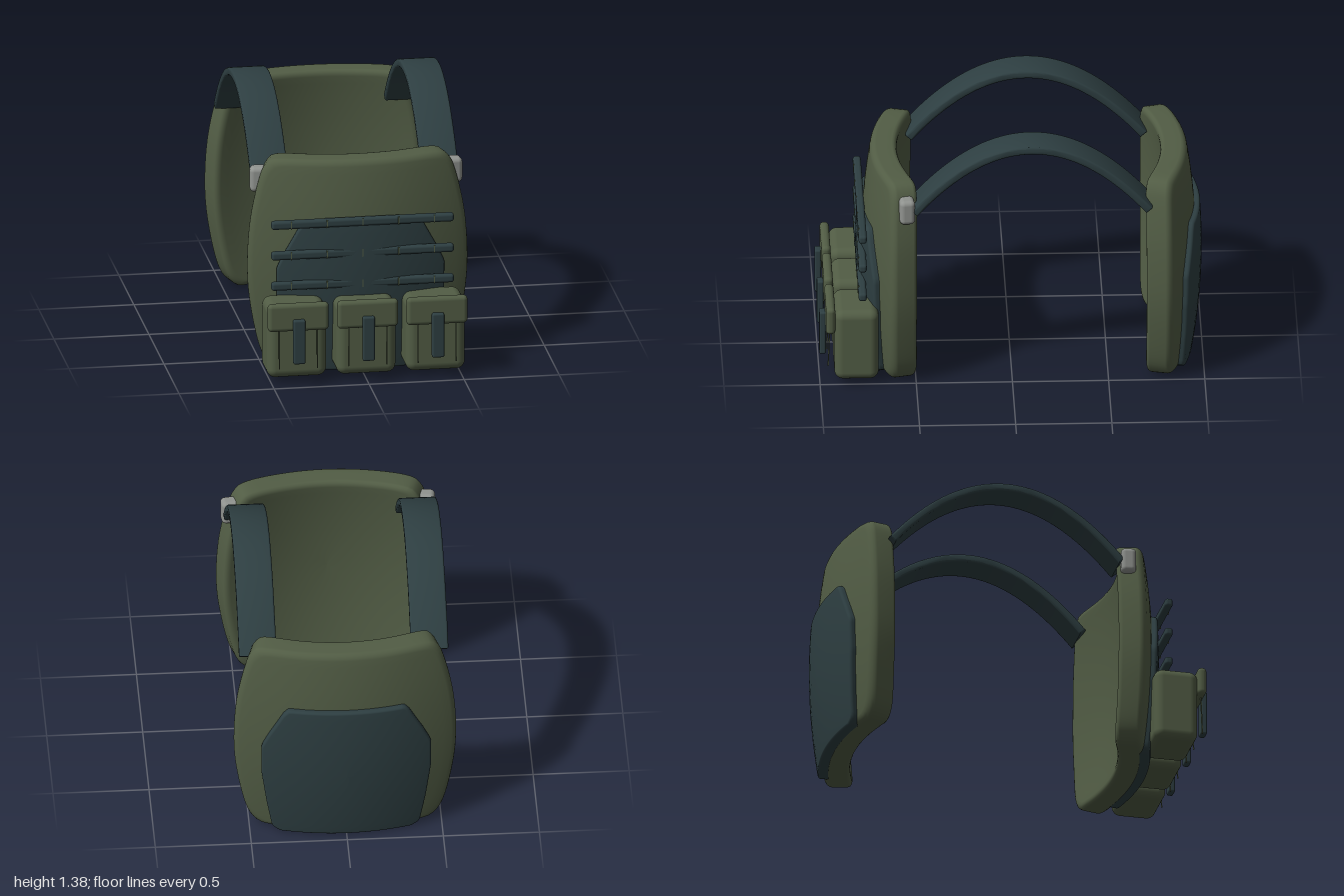
import * as THREE from 'three';
import { toCreasedNormals } from 'three/addons/utils/BufferGeometryUtils.js';
import { RoundedBoxGeometry } from 'three/addons/geometries/RoundedBoxGeometry.js';

const mat = (name, color) => Object.assign(new THREE.MeshStandardMaterial({ color }), { name });

// Half outlines (x, y), from the bottom middle up to the top middle
const PANEL = [[0, 0.005], [0.2, 0.005], [0.38, 0.005], [0.45, 0.012], [0.505, 0.07], [0.545, 0.2], [0.58, 0.41],
  [0.587, 0.6], [0.57, 0.815], [0.525, 1.02], [0.485, 1.11], [0.42, 1.138], [0.2, 1.14], [0, 1.14]];
const PLATE = [[0, 0.005], [0.34, 0.005], [0.38, 0.03], [0.41, 0.2], [0.437, 0.4], [0.437, 0.57], [0.4, 0.65],
  [0.325, 0.79], [0.3, 0.815], [0, 0.815]];

function outline(half, smooth) {
  const left = half.slice(1, -1).reverse().map(([x, y]) => [-x, y]);
  const pts = [...half, ...left, half[0]].map(([x, y]) => new THREE.Vector2(x, y));
  const curve = smooth ? new THREE.SplineCurve(pts) : new THREE.Path(pts);
  curve.arcLengthDivisions = 600;
  return curve.getSpacedPoints(160).slice(0, -1);
}

// Bevelled slab made of scaled rings, then curved round the body and bowed vertically
function curvedSlab(pts, cy, inner, outer, bevel) {
  const profile = [];
  const flat = [0, 0.15, 0.3, 0.45, 0.6, 0.75, 0.87];
  const inset = bevel / 0.5;
  for (const s of flat) profile.push([s, inner]);
  for (let i = 0; i <= 4; i++) {
    const a = (i / 4) * Math.PI / 2;
    profile.push([1 - inset * (1 - Math.sin(a)), inner + bevel * (1 - Math.cos(a))]);
  }
  for (let i = 4; i >= 0; i--) {
    const a = (i / 4) * Math.PI / 2;
    profile.push([1 - inset * (1 - Math.sin(a)), outer - bevel * (1 - Math.cos(a))]);
  }
  for (const s of [...flat].reverse()) profile.push([s, outer]);

  const pos = [], index = [], n = pts.length;
  profile.forEach(([s, t], i) => {
    pts.forEach((p, j) => {
      const x = p.x * s, y = cy + (p.y - cy) * s;
      const bow = 0.05 * (1 - ((y - 0.57) / 0.57) ** 2);
      pos.push(x * (1 + 0.55 * t), y, 0.72 + t + bow - 0.42 * x * x);
      if (i === 0) return;
      const k = (j + 1) % n, a = (i - 1) * n + j, b = (i - 1) * n + k, c = i * n + k, d = i * n + j;
      index.push(a, b, c, a, c, d);
    });
  });
  const g = new THREE.BufferGeometry();
  g.setAttribute('position', new THREE.Float32BufferAttribute(pos, 3));
  g.setIndex(index);
  g.computeVertexNormals();
  return g;
}

// Arched band, extruded sideways
function strapGeometry(width, thickness) {
  const bevel = 0.01, h = thickness / 2 - bevel;
  const curve = new THREE.QuadraticBezierCurve(
    new THREE.Vector2(-0.505, 1.01), new THREE.Vector2(0.1, 1.71), new THREE.Vector2(0.705, 1.01));
  const top = [], under = [];
  for (let i = 0; i <= 40; i++) {
    const p = curve.getPoint(i / 40), t = curve.getTangent(i / 40);
    top.push(new THREE.Vector2(p.x - t.y * h, p.y + t.x * h));
    under.unshift(new THREE.Vector2(p.x + t.y * h, p.y - t.x * h));
  }
  const g = new THREE.ExtrudeGeometry(new THREE.Shape([...top, ...under]), {
    depth: width - 2 * bevel, bevelThickness: bevel, bevelSize: bevel, bevelSegments: 3 });
  g.translate(0, 0, -width / 2 + bevel);
  g.rotateY(Math.PI / 2);
  return toCreasedNormals(g, 0.6);
}

export function createModel() {
  const olive = mat('olive fabric', 0x525d45);
  const dark = mat('dark webbing', 0x2e3f42);
  const grey = mat('grey buckle', 0x90938f);
  const root = new THREE.Group();
  root.name = 'plateCarrierVest';

  const add = (parent, name, geometry, material, x = 0, y = 0, z = 0) => {
    const m = new THREE.Mesh(geometry, material);
    m.name = name;
    m.position.set(x, y, z);
    parent.add(m);
    return m;
  };
  const box = (w, h, d, r) => new RoundedBoxGeometry(w, h, d, 4, r);

  // Front and back panels, each with a raised plate
  const panelGeo = curvedSlab(outline(PANEL, true), 0.57, -0.14, 0, 0.03);
  const plateGeo = curvedSlab(outline(PLATE, false), 0.41, -0.03, 0.03, 0.015);
  for (const side of ['front', 'back']) {
    const g = new THREE.Group();
    g.name = side + 'Half';
    add(g, side + 'Panel', panelGeo, olive);
    add(g, side + 'Plate', plateGeo, dark);
    if (side === 'back') {
      g.rotation.y = Math.PI;
      g.position.z = -0.2;
    }
    root.add(g);
  }

  // Shoulder straps and buckles
  const strapGeo = strapGeometry(0.195, 0.042);
  const buckleGeo = box(0.145, 0.135, 0.08, 0.025);
  for (const [name, s] of [['left', 1], ['right', -1]]) {
    add(root, name + 'ShoulderStrap', strapGeo, dark, s * 0.4475, 0, 0);
    add(root, name + 'Buckle', buckleGeo, grey, s * 0.485, 1.012, 0.553).rotation.y = s * 0.12;
  }

  // Webbing rows with stitched bars
  const rowGeo = box(0.96, 0.045, 0.042, 0.015);
  const stitchGeo = new THREE.BoxGeometry(0.006, 0.042, 0.008);
  for (const y of [0.825, 0.658, 0.492]) {
    add(root, 'webbingRow', rowGeo, dark, 0, y, 0.777);
    for (let i = -2; i <= 2; i++) add(root, 'webbingStitch', stitchGeo, olive, i * 0.188, y, 0.796);
  }

  // Three pouches with flap, pull tab and piping
  const bodyGeo = box(0.312, 0.395, 0.23, 0.045);
  const flapGeo = box(0.32, 0.15, 0.048, 0.022);
  const tabGeo = box(0.064, 0.24, 0.034, 0.01);
  const pipingGeo = new THREE.BoxGeometry(0.006, 0.21, 0.006);
  for (const x of [-0.365, 0, 0.365]) {
    const pouch = new THREE.Group();
    pouch.name = 'pouch';
    pouch.position.x = x;
    add(pouch, 'pouchBody', bodyGeo, olive, 0, 0.23, 0.81);
    add(pouch, 'pouchFlap', flapGeo, olive, 0, 0.375, 0.945);
    add(pouch, 'pouchTab', tabGeo, dark, 0, 0.25, 0.983);
    for (const s of [-1, 1]) add(pouch, 'pouchPiping', pipingGeo, olive, s * 0.1, 0.2, 0.953).rotation.x = -0.04;
    root.add(pouch);
  }
  return root;
}
